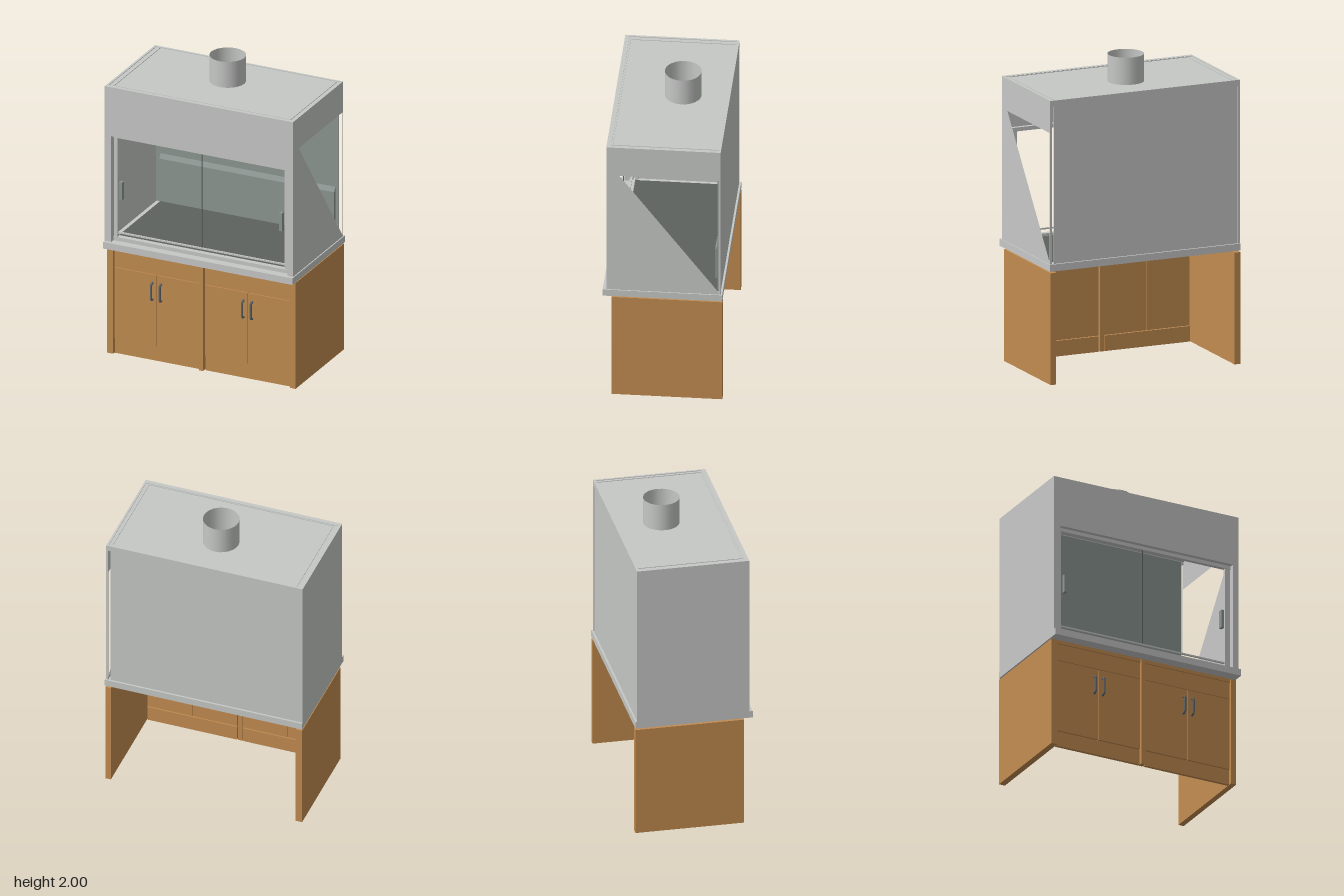
import * as THREE from 'three';

const mat = (name, color, side = THREE.FrontSide) => {
  const m = new THREE.MeshStandardMaterial({ color, side });
  m.name = name;
  return m;
};

export function createModel() {
  const steel = mat('light grey steel', 0xc6c8c6);
  const sheet = mat('light grey sheet', 0xc6c8c6, THREE.DoubleSide);
  const wood = mat('warm wood', 0xc28c50);
  const lining = mat('grey green lining', 0x8c9692);
  const worktop = mat('dark worktop', 0x5c625f);
  const metal = mat('dark metal', 0x62686c);
  const model = new THREE.Group();
  model.name = 'fumeHood';

  const group = (name) => {
    const g = new THREE.Group();
    g.name = name;
    model.add(g);
    return g;
  };
  const add = (parent, name, geometry, material) => {
    const m = new THREE.Mesh(geometry, material);
    m.name = name;
    parent.add(m);
    return m;
  };
  // Box given by its limits on each axis
  const box = (parent, name, [x0, x1], [y0, y1], [z0, z1], material) => {
    const m = add(parent, name, new THREE.BoxGeometry(x1 - x0, y1 - y0, z1 - z0), material);
    m.position.set((x0 + x1) / 2, (y0 + y1) / 2, (z0 + z1) / 2);
    return m;
  };
  // Outline of [z, y] points, extruded along x
  const profile = (points, hole, x0, x1) => {
    const toVec = ([z, y]) => new THREE.Vector2(-z, y);
    const shape = new THREE.Shape(points.map(toVec));
    if (hole) shape.holes.push(new THREE.Path(hole.map(toVec)));
    return new THREE.ExtrudeGeometry(shape, { depth: x1 - x0, bevelEnabled: false })
      .rotateY(Math.PI / 2).translate(x0, 0, 0);
  };
  // Bar handle bowed out from the surface at z
  const handle = (parent, x, y0, y1, z, reach) => {
    const path = new THREE.CatmullRomCurve3([
      [y0, 0], [y0 + 0.008, reach], [y1 - 0.008, reach], [y1, 0],
    ].map(([y, d]) => new THREE.Vector3(x, y, z + d)), false, 'catmullrom', 0.1);
    add(parent, 'handle', new THREE.TubeGeometry(path, 16, 0.008, 8), metal);
  };

  // Cabinet: side panels, centre stile and top rail, open at the back and below
  const cabinet = group('cabinet');
  box(cabinet, 'rightSide', [-0.66, -0.618], [0, 0.72], [-0.375, 0.32], wood);
  box(cabinet, 'leftSide', [0.613, 0.65], [0, 0.72], [-0.375, 0.32], wood);
  box(cabinet, 'centreStile', [-0.022, 0.006], [0, 0.72], [0.28, 0.32], wood);
  box(cabinet, 'topRail', [-0.618, 0.613], [0.702, 0.725], [0.285, 0.31], wood);

  // Two matching bays with toe board, drawer front and a pair of doors
  for (const [x0, x1] of [[-0.615, -0.025], [0.014, 0.611]]) {
    const mid = (x0 + x1) / 2;
    box(cabinet, 'toeBoard', [x0, x1], [0, 0.1], [0.28, 0.3], wood);
    box(cabinet, 'drawerFront', [x0, x1], [0.588, 0.699], [0.285, 0.307], wood);
    box(cabinet, 'door', [x0, mid - 0.002], [0.103, 0.584], [0.285, 0.307], wood);
    box(cabinet, 'door', [mid + 0.002, x1], [0.103, 0.584], [0.285, 0.307], wood);
    for (const s of [-1, 1]) handle(cabinet, mid + s * 0.03, 0.415, 0.53, 0.305, 0.024);
  }

  // Counter slab with dark work surface
  const counter = group('counter');
  box(counter, 'counterSlab', [-0.66, 0.655], [0.73, 0.775], [-0.375, 0.375], steel);
  box(counter, 'workSurface', [-0.612, 0.608], [0.775, 0.783], [-0.355, 0.29], worktop);

  // Hood shell: closed right wall, left wall with a triangular opening
  const hood = group('hood');
  const wall = [[0.353, 0.775], [0.353, 1.828], [-0.365, 1.828], [-0.365, 0.775]];
  add(hood, 'rightWall', profile(wall, null, -0.66, -0.645), steel);
  add(hood, 'leftWall',
    profile(wall, [[0.27, 1.62], [-0.357, 1.62], [-0.357, 0.785]], 0.635, 0.648), steel);
  box(hood, 'rightPost', [-0.645, -0.615], [0.775, 1.495], [0.27, 0.353], steel);
  box(hood, 'leftPost', [0.61, 0.635], [0.775, 1.495], [0.27, 0.353], steel);
  box(hood, 'fascia', [-0.645, 0.635], [1.495, 1.828], [0.325, 0.353], steel);
  box(hood, 'backPanel', [-0.645, 0.62], [0.775, 1.828], [-0.362, -0.35], steel);
  box(hood, 'backRim', [-0.645, 0.635], [1.79, 1.828], [-0.365, -0.352], steel);
  box(hood, 'topPlate', [-0.645, 0.635], [1.808, 1.824], [-0.352, 0.325], steel);

  // Raised seam around the top plate
  for (const x of [-0.617, 0.61]) {
    box(hood, 'topSeam', [x, x + 0.006], [1.822, 1.828], [-0.35, 0.32], steel);
  }
  box(hood, 'topSeam', [-0.617, 0.616], [1.822, 1.828], [0.314, 0.32], steel);

  // Inner back lining and sloped baffle
  box(hood, 'backLining', [-0.64, 0.615], [0.783, 1.8], [-0.35, -0.343], lining);
  const baffle = [[-0.343, 0.87], [-0.325, 0.87], [-0.325, 1.08], [-0.343, 1.11]];
  add(hood, 'baffle', profile(baffle.reverse(), null, -0.61, 0.605), lining);

  // Sash: slim surround, centre joint and pull handles
  const sash = group('sash');
  for (const [x0, x1] of [[-0.615, -0.588], [0.572, 0.61]]) {
    box(sash, 'sashStile', [x0, x1], [0.785, 1.495], [0.295, 0.315], steel);
  }
  box(sash, 'sashTopRail', [-0.615, 0.61], [1.475, 1.5], [0.295, 0.32], steel);
  box(sash, 'sashSill', [-0.615, 0.61], [0.775, 0.8], [0.285, 0.32], steel);
  box(sash, 'sashBottomRail', [-0.588, 0.572], [0.822, 0.832], [0.3, 0.31], steel);
  box(sash, 'centreJoint', [-0.011, -0.006], [0.83, 1.478], [0.303, 0.308], metal);
  for (const x of [-0.562, 0.55]) {
    box(sash, 'sashPull', [x - 0.01, x + 0.01], [1.06, 1.18], [0.3, 0.33], lining);
  }

  // Open exhaust duct
  const duct = add(model, 'exhaustDuct',
    new THREE.CylinderGeometry(0.115, 0.115, 0.178, 24, 1, true), sheet);
  duct.position.set(-0.01, 1.911, -0.07);

  return model;
}
